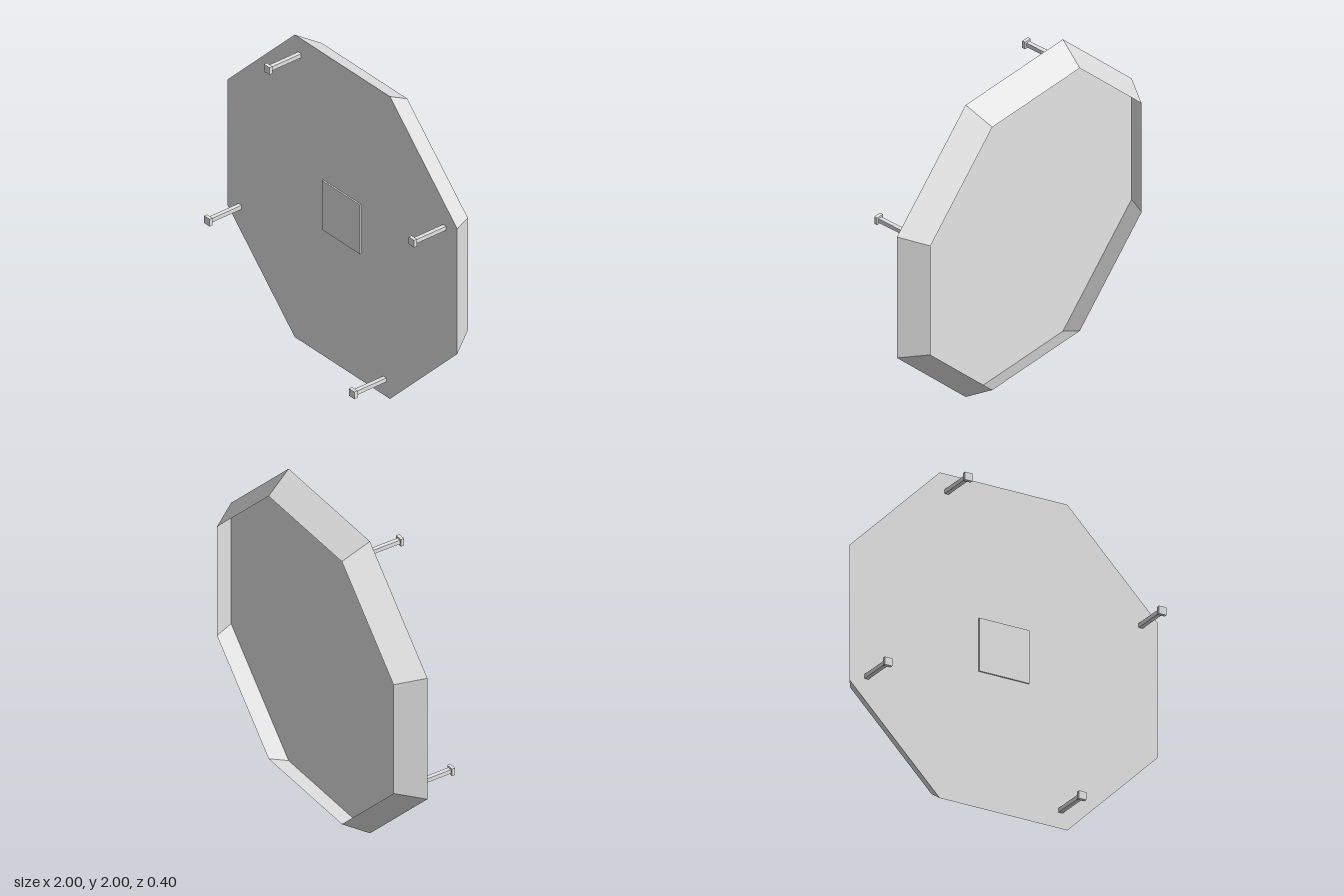
import * as THREE from 'three';

export function createModel() {
  const group = new THREE.Group();
  const grey = new THREE.MeshStandardMaterial({ color: 0xe4e4e4, flatShading: true, side: THREE.DoubleSide });
  grey.name = 'lightGrey';

  const add = (name, geometry, x, y, z, parent = group) => {
    const mesh = new THREE.Mesh(geometry, grey);
    mesh.name = name;
    mesh.position.set(x, y, z);
    parent.add(mesh);
    return mesh;
  };

  // Octagonal tray: flat front panel with a rim sloping inwards to an open back
  const corner = 1 / Math.cos(Math.PI / 8);
  const profile = [[0.9 * corner, -0.2], [corner, -0.04], [0, -0.04]].map(p => new THREE.Vector2(...p));
  const tray = new THREE.LatheGeometry(profile, 8, Math.PI / 8);
  tray.rotateX(Math.PI / 2);
  add('octagonalTray', tray, 0, 1, 0);

  // Thin square plate in the middle of the front
  add('centrePlate', new THREE.BoxGeometry(0.326, 0.326, 0.009), 0, 1.001, -0.0345);

  // Four pegs: a slim square stem with a wider square head
  const stem = new THREE.BoxGeometry(0.026, 0.026, 0.22);
  const head = new THREE.BoxGeometry(0.048, 0.048, 0.021);
  [[-0.37, 0.89], [0.89, 0.37], [-0.89, -0.37], [0.37, -0.89]].forEach(([x, y]) => {
    const peg = new THREE.Group();
    peg.name = 'peg';
    peg.position.set(x, 1 + y, 0);
    add('pegStem', stem, 0, 0, 0.0705, peg);
    add('pegHead', head, 0, 0, 0.1895, peg);
    group.add(peg);
  });

  return group;
}
